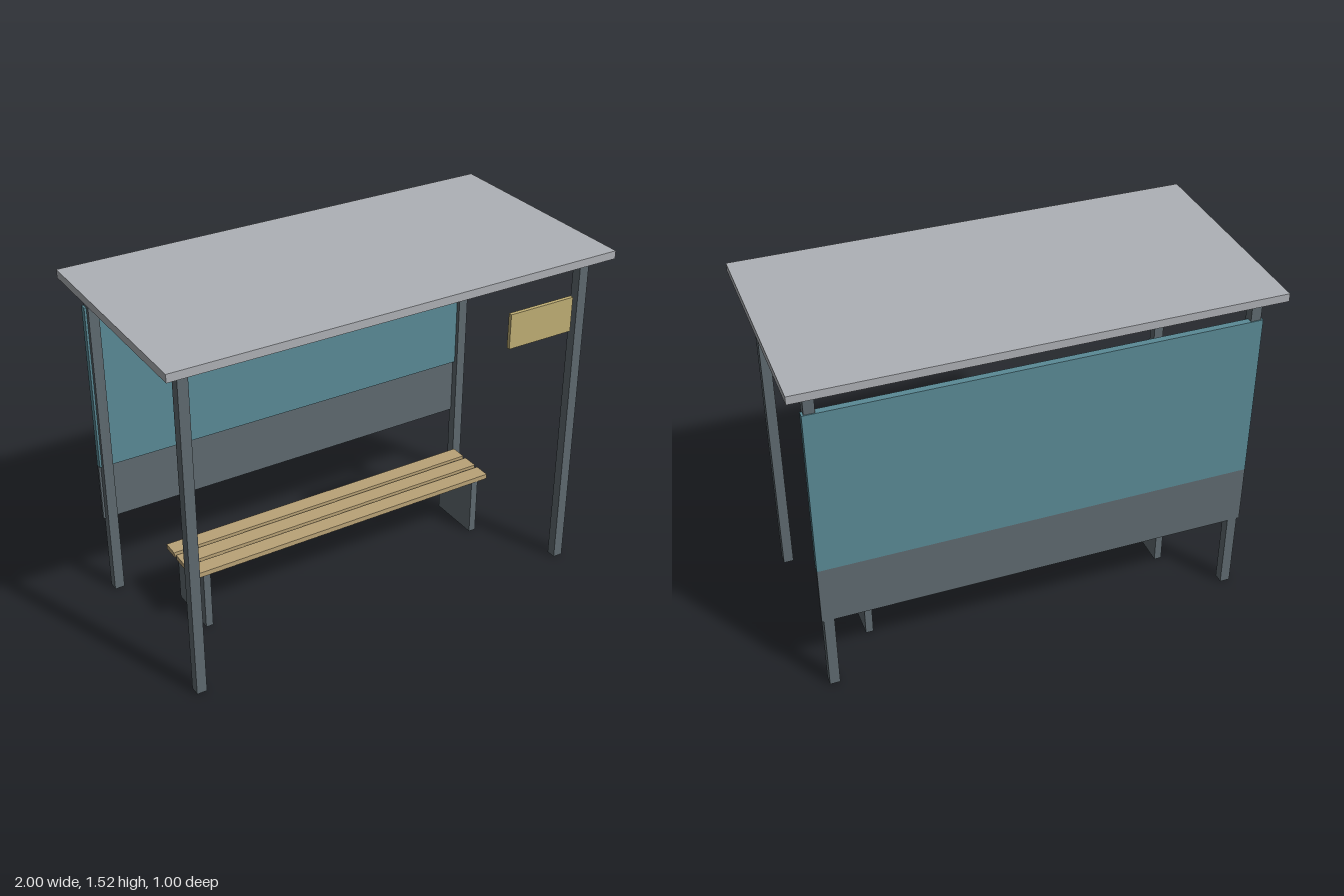
import * as THREE from 'three';

const mat = (name, color) => {
  const m = new THREE.MeshStandardMaterial({ color });
  m.name = name;
  return m;
};

export function createModel() {
  const steel = mat('dark steel', 0x5f6a70);
  const roofGrey = mat('roof grey', 0xaeb1b6);
  const teal = mat('teal glass', 0x5a8a96);
  const wood = mat('bench wood', 0xbaa377);
  const yellow = mat('sign yellow', 0xbfae74);

  const shelter = new THREE.Group();
  shelter.name = 'busShelter';

  // Box given by its minimum and maximum on each axis
  const box = (name, material, [x0, x1], [y0, y1], [z0, z1]) => {
    const geometry = new THREE.BoxGeometry(x1 - x0, y1 - y0, z1 - z0);
    const mesh = new THREE.Mesh(geometry, material);
    mesh.position.set((x0 + x1) / 2, (y0 + y1) / 2, (z0 + z1) / 2);
    mesh.name = name;
    shelter.add(mesh);
  };
  const around = (centre, width) => [centre - width / 2, centre + width / 2];

  // Roof slab
  box('roof', roofGrey, [-1, 1], [1.485, 1.52], [-0.5, 0.5]);

  // Corner posts
  for (const x of [-1, 1]) {
    for (const z of [-1, 1]) {
      const name = (z > 0 ? 'front' : 'back') + (x > 0 ? 'Left' : 'Right') + 'Post';
      box(name, steel, around(x * 0.906, 0.044), [0, 1.485], around(z * 0.406, 0.044));
    }
  }

  // Back wall: glass above, solid panel below
  box('backGlass', teal, [-0.937, 0.937], [0.628, 1.375], [-0.432, -0.403]);
  box('lowerBackPanel', steel, [-0.937, 0.937], [0.36, 0.628], [-0.432, -0.417]);

  // Bench: two side supports and three slats
  for (const s of [-1, 1]) {
    box(s > 0 ? 'leftBenchSupport' : 'rightBenchSupport', steel,
      around(s * 0.687, 0.033), [0, 0.28], [-0.187, 0.063]);
  }
  for (const z of [0.031, -0.062, -0.155]) {
    box('benchSlat', wood, [-0.75, 0.75], [0.271, 0.294], around(z, 0.074));
  }

  // Sign board beside the front left post
  box('signBoard', yellow, [0.53, 0.842], [1.175, 1.33], [0.43, 0.447]);

  return shelter;
}
